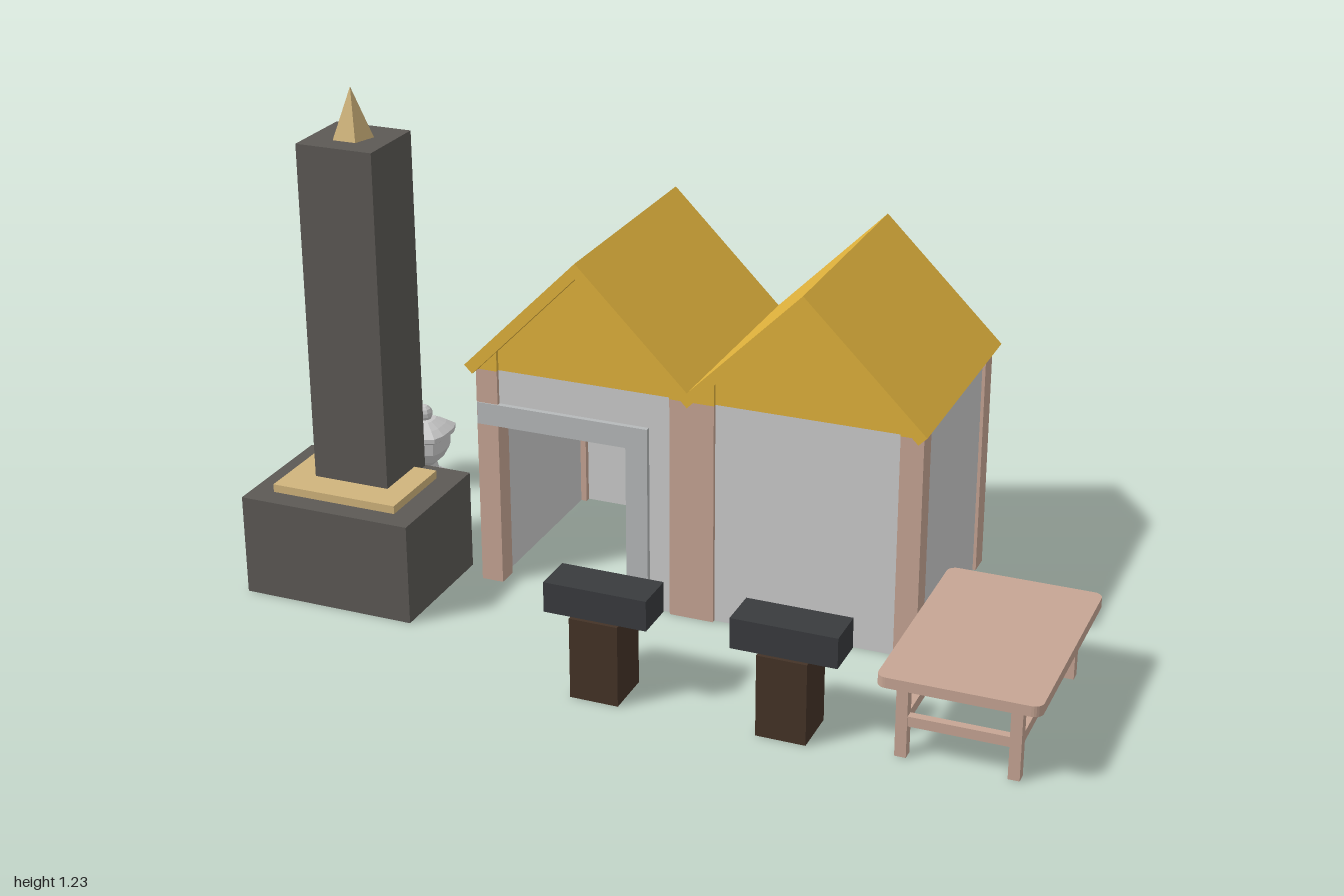
import * as THREE from 'three';

const mat = (color) => new THREE.MeshStandardMaterial({ color, flatShading: true });
const M = {
  grey: mat(0xcccccc), frame: mat(0xb6b9ba), wood: mat(0xc6a594), roof: mat(0xdfb13c),
  stone: mat(0x5c5955), tan: mat(0xd0b47c), seat: mat(0x393b3e), dark: mat(0x443327),
};

function add(parent, name, geometry, material) {
  const mesh = new THREE.Mesh(geometry, material);
  mesh.name = name;
  parent.add(mesh);
  return mesh;
}

// Box given by its limits on each axis
function box(parent, name, material, [x0, x1], [y0, y1], [z0, z1]) {
  const mesh = add(parent, name, new THREE.BoxGeometry(x1 - x0, y1 - y0, z1 - z0), material);
  mesh.position.set((x0 + x1) / 2, (y0 + y1) / 2, (z0 + z1) / 2);
  return mesh;
}

// Outline in x and y, extruded from z0 to z1
function slab(parent, name, material, points, z0, z1) {
  const shape = new THREE.Shape(points.map(([x, y]) => new THREE.Vector2(x, y)));
  const geometry = new THREE.ExtrudeGeometry(shape, { depth: z1 - z0, bevelEnabled: false });
  geometry.translate(0, 0, z0);
  return add(parent, name, geometry, material);
}

function group(parent, name) {
  const g = new THREE.Group();
  g.name = name;
  parent.add(g);
  return g;
}

function buildHouse(root) {
  const house = group(root, 'house');
  const top = 0.555;

  // Corner and middle posts, front and back, with roof-coloured heads
  const heads = [
    [[-0.5, top], [-0.45, top], [-0.45, 0.608]],
    [[-0.01, top], [0.1, top], [0.1, 0.607], [0.045, 0.556], [-0.01, 0.607]],
    [[0.545, top], [0.595, top], [0.545, 0.608]],
  ];
  for (const [z0, z1] of [[0.012, 0.066], [-0.485, -0.43]]) {
    for (const xs of [[-0.505, -0.45], [-0.01, 0.1], [0.545, 0.6]])
      box(house, 'post', M.wood, xs, [0, top], [z0, z1]);
    heads.forEach((points) => slab(house, 'postHead', M.roof, points, z0, z1));
  }

  // Walls
  box(house, 'leftWall', M.grey, [0.56, 0.592], [0, top], [-0.43, 0.012]);
  box(house, 'rightWall', M.grey, [-0.497, -0.465], [0, top], [-0.43, 0.012]);
  const backZ = [-0.477, -0.445], frontZ = [0.026, 0.056];
  box(house, 'backWall', M.grey, [-0.45, -0.01], [0, top], backZ);
  box(house, 'backWall', M.grey, [0.1, 0.545], [0, top], backZ);
  box(house, 'frontWall', M.grey, [0.1, 0.545], [0, top], frontZ);
  box(house, 'lintelWall', M.grey, [-0.45, -0.01], [0.47, top], frontZ);
  box(house, 'doorSideWall', M.grey, [-0.065, -0.01], [0, 0.47], frontZ);

  // Door frame around the open doorway
  slab(house, 'doorFrame', M.frame,
    [[-0.503, 0.415], [-0.12, 0.415], [-0.12, 0], [-0.065, 0], [-0.065, 0.47], [-0.503, 0.47]], 0.015, 0.069);

  // Gables and the double pitched roof
  for (const [z0, z1] of [frontZ, backZ])
    for (const cx of [-0.23, 0.32])
      slab(house, 'gable', M.roof, [[cx - 0.272, top], [cx + 0.272, top], [cx, 0.83]], z0, z1);
  slab(house, 'roof', M.roof, [
    [-0.52, 0.573], [-0.5, 0.553], [-0.23, 0.827], [0.045, 0.553], [0.32, 0.827], [0.595, 0.553],
    [0.615, 0.573], [0.32, 0.865], [0.045, 0.59], [-0.23, 0.865],
  ], -0.51, 0.095);

  // Shutters on the back wall
  for (const xs of [[-0.105, -0.03], [0.115, 0.19]])
    box(house, 'shutter', M.tan, xs, [0.22, 0.385], [-0.5, -0.47]);
}

function buildObelisk(root) {
  const obelisk = group(root, 'obelisk');
  box(obelisk, 'plinth', M.stone, [-1, -0.56], [0, 0.25], [0.01, 0.34]);
  box(obelisk, 'step', M.tan, [-0.945, -0.62], [0.25, 0.27], [0.068, 0.285]);
  box(obelisk, 'column', M.stone, [-0.875, -0.68], [0.25, 1.105], [0.014, 0.205]);
  const spike = add(obelisk, 'spike', new THREE.ConeGeometry(0.05, 0.12, 5, 1, false, Math.PI), M.tan);
  spike.position.set(-0.78, 1.165, 0.109);
}

function buildTable(root) {
  const table = group(root, 'table');
  // Top with rounded corners
  const [x0, x1, z0, z1, r] = [0.64, 1, -0.043, 0.504, 0.022];
  const s = new THREE.Shape();
  s.absarc(x1 - r, z1 - r, r, 0, Math.PI / 2);
  s.absarc(x0 + r, z1 - r, r, Math.PI / 2, Math.PI);
  s.absarc(x0 + r, z0 + r, r, Math.PI, Math.PI * 1.5);
  s.absarc(x1 - r, z0 + r, r, Math.PI * 1.5, Math.PI * 2);
  const geometry = new THREE.ExtrudeGeometry(s, { depth: 0.025, bevelEnabled: false, curveSegments: 3 });
  geometry.rotateX(Math.PI / 2);
  add(table, 'tableTop', geometry, M.wood).position.y = 0.2;
  // Legs and rails
  const legX = [[0.68, 0.706], [0.93, 0.956]], legZ = [[-0.014, 0.012], [0.452, 0.478]];
  for (const xs of legX) {
    for (const zs of legZ) box(table, 'tableLeg', M.wood, xs, [0, 0.176], zs);
    box(table, 'sideRail', M.wood, [xs[0] + 0.003, xs[1] - 0.003], [0.076, 0.1], [0.012, 0.452]);
  }
  for (const zs of legZ)
    box(table, 'endRail', M.wood, [0.706, 0.93], [0.076, 0.1], [zs[0] + 0.003, zs[1] - 0.003]);
}

function buildUrn(root) {
  const urn = group(root, 'urn');
  urn.position.set(-0.89, 0, -0.375);
  // Squared body: a lathe whose rings are pushed out to rounded squares
  const profile = [[0, 0], [0.054, 0], [0.054, 0.025], [0.03, 0.042], [0.026, 0.06], [0.045, 0.078],
    [0.059, 0.105], [0.06, 0.138], [0.072, 0.146], [0.072, 0.158], [0.052, 0.172], [0.028, 0.185], [0, 0.19]];
  const body = new THREE.LatheGeometry(profile.map(([x, y]) => new THREE.Vector2(x, y)), 16);
  const p = body.attributes.position;
  for (let i = 0; i < p.count; i++) {
    const x = p.getX(i), z = p.getZ(i), rad = Math.hypot(x, z);
    if (rad < 1e-6) continue;
    const k = Math.pow(Math.pow(x / rad, 4) + Math.pow(z / rad, 4), -0.25);
    p.setX(i, x * k);
    p.setZ(i, z * k);
  }
  body.computeVertexNormals();
  add(urn, 'urnBody', body, M.grey);
  add(urn, 'urnKnob', new THREE.SphereGeometry(0.024, 10, 7), M.grey).position.y = 0.2;
}

export function createModel() {
  const root = new THREE.Group();
  root.name = 'village';
  buildHouse(root);
  buildObelisk(root);
  buildTable(root);
  buildUrn(root);

  // Two stools with a block foot and a wide seat
  for (const x of [-0.008, 0.433]) {
    const stool = group(root, 'stool');
    box(stool, 'stoolFoot', M.dark, [x - 0.058, x + 0.058], [0, 0.197], [0.393, 0.512]);
    box(stool, 'stoolSeat', M.seat, [x - 0.123, x + 0.123], [0.197, 0.27], [0.402, 0.503]);
  }
  return root;
}
